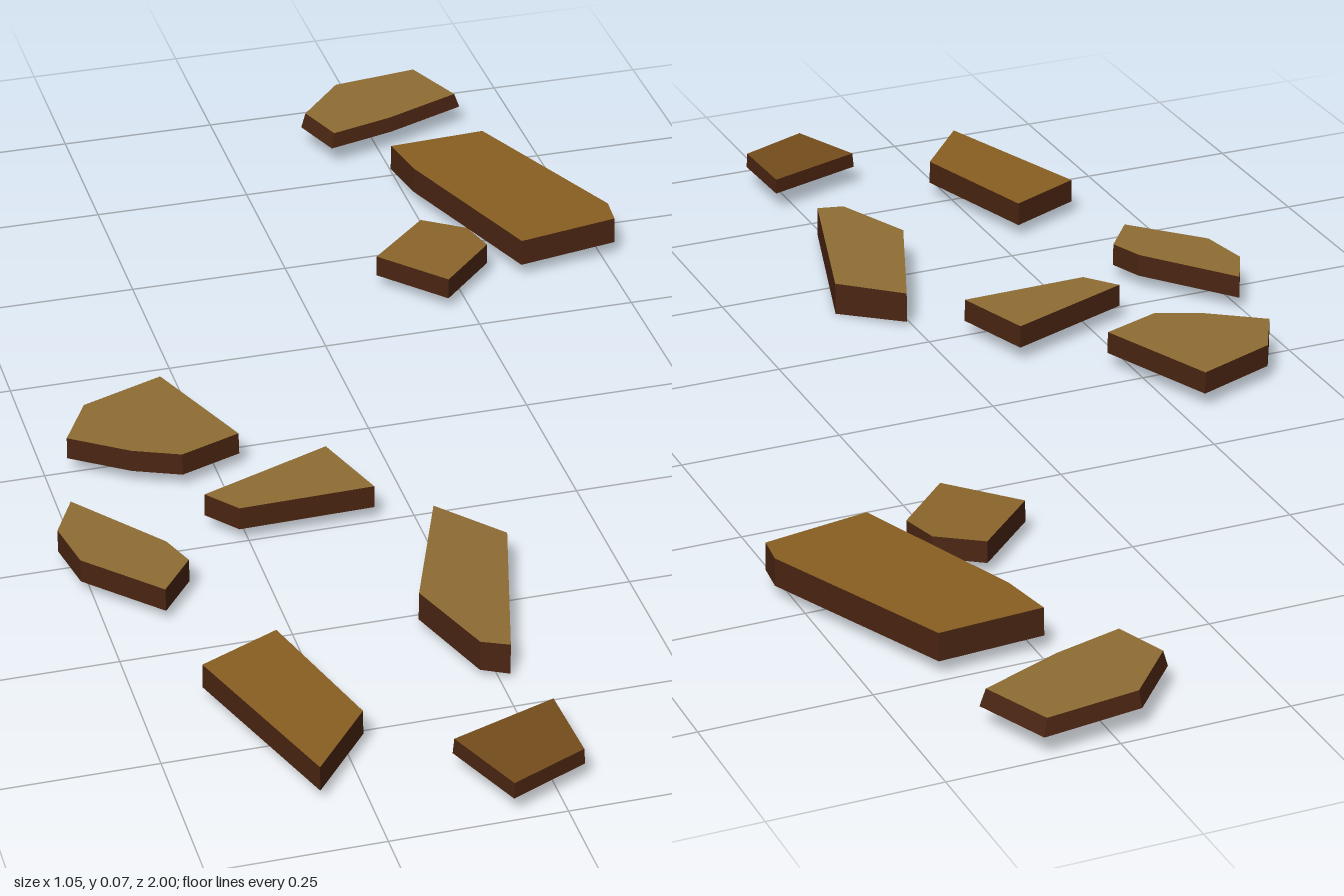
import * as THREE from 'three';

// Each slab: outline [x, z] clockwise from above, bottom and top heights,
// slope of the top and of the bottom along x, inset of the top face, top colour
const SLABS = [
  { pts: [[0.13, -0.89], [0.21, -0.98], [0.36, -1.0], [0.405, -0.89], [0.27, -0.835], [0.16, -0.805]], low: 0.035, high: 0.06, inset: 0.06, color: 0x8f6d33 },
  { pts: [[0.24, -0.73], [0.4, -0.74], [0.525, -0.45], [0.52, -0.4], [0.355, -0.37], [0.255, -0.645]], low: 0.025, high: 0.068, color: 0x8a6022 },
  { pts: [[0.125, -0.405], [0.225, -0.5], [0.29, -0.455], [0.305, -0.395], [0.215, -0.305]], low: 0.022, high: 0.056, color: 0x8c652b },
  { pts: [[-0.465, 0], [-0.42, -0.085], [-0.29, -0.135], [-0.215, 0.055], [-0.31, 0.09], [-0.38, 0.06]], low: 0.026, high: 0.061, color: 0x8f6d33 },
  { pts: [[-0.305, 0.205], [-0.1, 0.125], [-0.06, 0.25], [-0.265, 0.255]], low: 0.026, high: 0.062, color: 0x8f6d33 },
  { pts: [[-0.53, 0.235], [-0.495, 0.165], [-0.385, 0.305], [-0.365, 0.36], [-0.415, 0.425], [-0.515, 0.32]], low: 0.022, high: 0.058, color: 0x8f6d33 },
  { pts: [[0.01, 0.315], [0.095, 0.405], [0.015, 0.685], [-0.025, 0.67], [-0.075, 0.535]], low: 0.01, high: 0.058, slope: -0.06, lowSlope: -0.1, color: 0x8f6d33 },
  { pts: [[-0.41, 0.62], [-0.29, 0.565], [-0.225, 0.785], [-0.315, 0.895]], low: 0.022, high: 0.06, color: 0x8a6022 },
  { pts: [[-0.125, 0.875], [0.035, 0.82], [0.04, 0.945], [-0.075, 0.995]], low: 0.033, high: 0.057, inset: 0.02, color: 0x754d1c },
];

function surface(name, triangles, color) {
  const geometry = new THREE.BufferGeometry().setFromPoints(triangles);
  geometry.computeVertexNormals();
  const mesh = new THREE.Mesh(geometry, new THREE.MeshStandardMaterial({
    color, flatShading: true, side: THREE.DoubleSide,
  }));
  mesh.name = name;
  return mesh;
}

// Flat-topped slab with a skirt of walls, open underneath
function makeSlab({ pts, low, high, slope = 0, lowSlope = 0, inset = 0.005, color }) {
  const n = pts.length;
  const cx = pts.reduce((s, p) => s + p[0], 0) / n;
  const cz = pts.reduce((s, p) => s + p[1], 0) / n;
  const top = pts.map(([x, z]) => new THREE.Vector3(
    x + (cx - x) * inset, high + slope * (x - cx), z + (cz - z) * inset));
  const base = pts.map(([x, z]) => new THREE.Vector3(
    x, Math.max(0, low + lowSlope * (x - cx)), z));
  const cap = [];
  const walls = [];
  for (let i = 0; i < n; i++) {
    const j = (i + 1) % n;
    if (i > 0 && j > 0) cap.push(top[0], top[j], top[i]);
    walls.push(top[i], top[j], base[j], top[i], base[j], base[i]);
  }
  const slab = new THREE.Group();
  slab.add(surface('topFace', cap, color), surface('sideWalls', walls, 0x4a2512));
  return slab;
}

export function createModel() {
  const group = new THREE.Group();
  group.name = 'scatteredSlabs';
  SLABS.forEach((spec, i) => {
    const slab = makeSlab(spec);
    slab.name = `slab${i + 1}`;
    group.add(slab);
  });
  return group;
}
